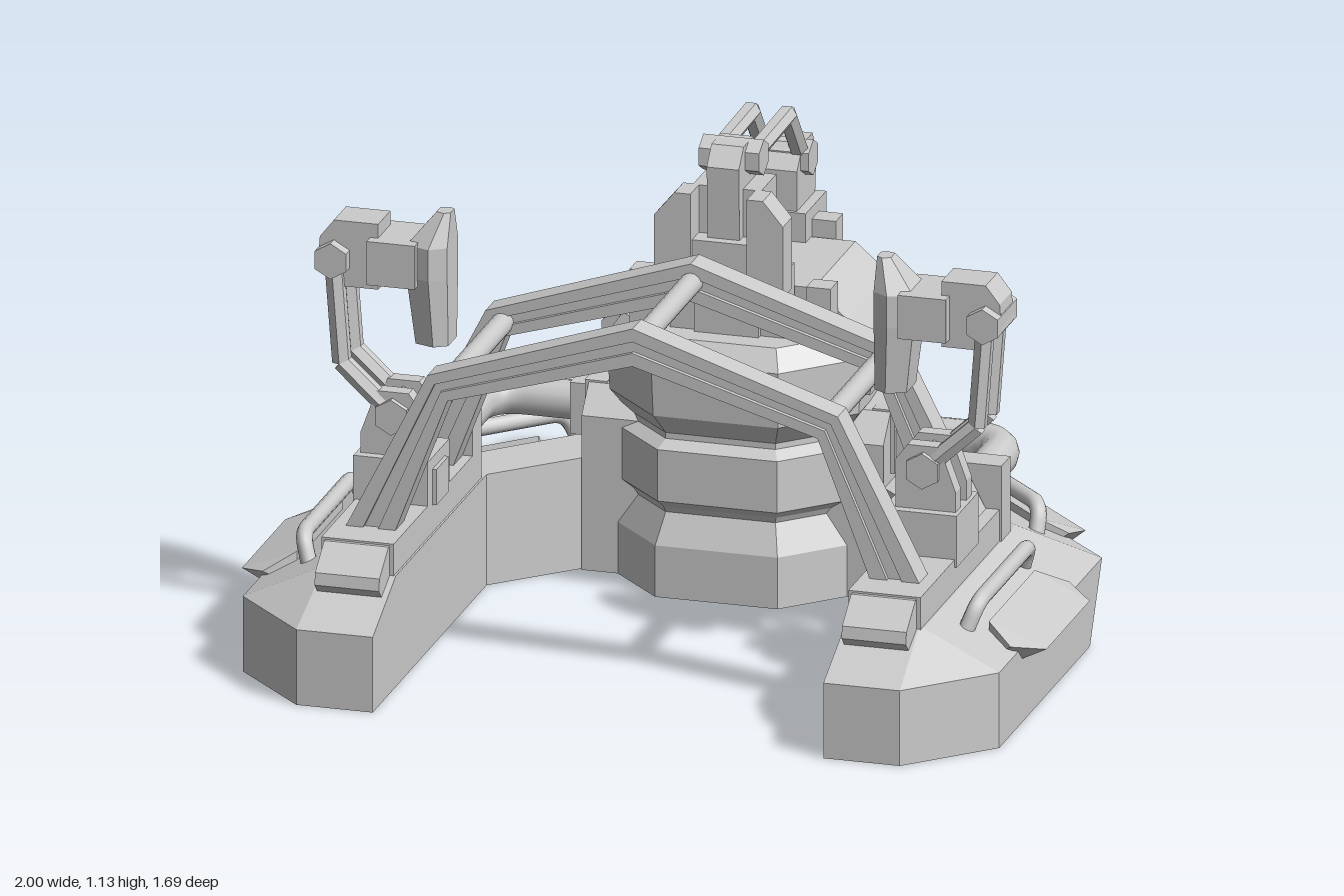
import * as THREE from 'three';
import { ConvexGeometry } from 'three/addons/geometries/ConvexGeometry.js';

const flat = new THREE.MeshStandardMaterial({ color: 0xcccccc, flatShading: true });
const smooth = new THREE.MeshStandardMaterial({ color: 0xcccccc });

function add(parent, name, geometry, material = flat) {
  const mesh = new THREE.Mesh(geometry, material);
  mesh.name = name;
  parent.add(mesh);
  return mesh;
}
function group(parent, name) {
  const g = new THREE.Group();
  g.name = name;
  parent.add(g);
  return g;
}
// Box given by its limits on each axis
function box(x0, x1, y0, y1, z0, z1) {
  return new THREE.BoxGeometry(x1 - x0, y1 - y0, z1 - z0)
    .translate((x0 + x1) / 2, (y0 + y1) / 2, (z0 + z1) / 2);
}
// Prism of an (x, y) outline running along z
function prismZ(points, z0, z1) {
  const shape = new THREE.Shape(points.map(p => new THREE.Vector2(...p)));
  return new THREE.ExtrudeGeometry(shape, { depth: z1 - z0, bevelEnabled: false }).translate(0, 0, z0);
}
// Prism of a (z, y) outline running along x
function prismX(points, x0, x1) {
  return prismZ(points.map(([z, y]) => [-z, y]), x0, x1).rotateY(Math.PI / 2);
}
function rod(r, a, b, sides = 16) {
  const from = new THREE.Vector3(...a), dir = new THREE.Vector3(...b).sub(from);
  const geo = new THREE.CylinderGeometry(r, r, dir.length(), sides);
  geo.applyQuaternion(new THREE.Quaternion().setFromUnitVectors(new THREE.Vector3(0, 1, 0), dir.clone().normalize()));
  return geo.translate(...from.addScaledVector(dir, 0.5).toArray());
}
// Tube with rounded bends at the inner points
function pipe(points, r, bend) {
  const p = points.map(a => new THREE.Vector3(...a));
  const path = new THREE.CurvePath();
  let last = p[0];
  for (let i = 1; i < p.length - 1; i++) {
    const a = p[i].clone().add(p[i - 1].clone().sub(p[i]).setLength(bend));
    const b = p[i].clone().add(p[i + 1].clone().sub(p[i]).setLength(bend));
    path.add(new THREE.LineCurve3(last, a));
    path.add(new THREE.QuadraticBezierCurve3(a, p[i], b));
    last = b;
  }
  path.add(new THREE.LineCurve3(last, p[p.length - 1]));
  return new THREE.TubeGeometry(path, 64, r, 12);
}
// Skin over stacked rings of [x, y, z], capped at both ends
function loft(rings) {
  const n = rings[0].length, index = [];
  const plan = ring => ring.map(([x, , z]) => new THREE.Vector2(x, -z));
  const ccw = THREE.ShapeUtils.area(plan(rings[0])) > 0;
  const tri = (a, b, c) => ccw ? index.push(a, b, c) : index.push(a, c, b);
  for (let k = 0; k < rings.length - 1; k++) for (let i = 0; i < n; i++) {
    const a = k * n + i, b = k * n + (i + 1) % n;
    tri(a, b, b + n);
    tri(a, b + n, a + n);
  }
  const top = (rings.length - 1) * n;
  for (const [k, up] of [[0, false], [rings.length - 1, true]]) {
    for (const f of THREE.ShapeUtils.triangulateShape(plan(rings[k]), [])) {
      const area = THREE.ShapeUtils.area(f.map(i => plan(rings[k])[i]));
      const [a, b, c] = (area > 0) === up ? f : [f[0], f[2], f[1]];
      index.push(a + k * n, b + k * n, c + k * n);
    }
  }
  const geo = new THREE.BufferGeometry();
  geo.setAttribute('position', new THREE.Float32BufferAttribute(rings.flat(2), 3));
  geo.setIndex(index);
  const out = geo.toNonIndexed();
  out.computeVertexNormals();
  return out;
}
// Offset band along a mirrored polyline, used for the arches
function band(outer, inner, t0, t1) {
  const row = t => outer.map(([x, y], i) => [x + (inner[i][0] - x) * t, y + (inner[i][1] - y) * t]);
  const full = r => [...r, ...r.slice(0, -1).reverse().map(([x, y]) => [-x, y])];
  return [...full(row(t0)), ...full(row(t1)).reverse()];
}
// Twin-bar arm along (x, y) points, with a pivot at each end
function twinArm(parent, points, half) {
  const arm = group(parent, 'arm');
  for (const s of [-1, 1]) for (let i = 0; i < points.length - 1; i++) {
    add(arm, 'armBar', rod(0.024, [...points[i], s * half], [...points[i + 1], s * half], 6));
  }
  for (const p of [points[0], points[points.length - 1]]) {
    add(arm, 'pivot', rod(0.045, [...p, -half - 0.03], [...p, half + 0.03], 6));
  }
}
// Grab rail with a pointed side fin; local +x is outward
function railAndFin(parent, x, z, angle, length) {
  const g = group(parent, 'railAndFin');
  g.position.set(x, 0, z);
  g.rotation.y = angle;
  add(g, 'grabRail', pipe([[-0.13, 0.22, -0.24], [-0.1, 0.305, -0.21], [-0.1, 0.305, 0.21], [-0.13, 0.22, 0.24]], 0.02, 0.04), smooth);
  const pts = [];
  for (const s of [-1, 1]) {
    const h = s * length / 2;
    pts.push([0.06, 0.19, h * 0.85], [-0.01, 0.155, h * 0.85], [-0.01, 0.21, h * 1.15],
      [-0.08, 0.25, h * 0.9], [-0.08, 0.16, h * 0.9]);
  }
  add(g, 'sideFin', new ConvexGeometry(pts.map(p => new THREE.Vector3(...p))));
}

function buildSide() {
  const side = new THREE.Group();
  // Half of the horseshoe hull, with sloping shoulders
  const inner = [[0, -0.28], [0.375, -0.28], [0.56, -0.1]];
  const outline = {
    bottom: [...inner, [0.56, 0.84], [0.75, 0.84], [0.94, 0.65], [0.94, -0.1], [0.38, -0.66], [0, -0.66]],
    wall: [...inner, [0.56, 0.84], [0.75, 0.84], [0.94, 0.65], [0.94, -0.2], [0.47, -0.66], [0, -0.66]],
    deck: [...inner, [0.56, 0.65], [0.74, 0.65], [0.75, 0.64], [0.75, -0.12], [0.39, -0.48], [0, -0.48]],
  };
  const ring = (pts, y) => pts.map(([x, z]) => [x, y, z]);
  add(side, 'hull', loft([ring(outline.bottom, 0), ring(outline.wall, 0.19), ring(outline.deck, 0.28)]));

  // Raised deck, front lamp and rear pipe block
  add(side, 'raisedDeck', box(0.565, 0.745, 0.25, 0.36, -0.02, 0.65));
  add(side, 'frontLamp', prismX([[0.64, 0.24], [0.71, 0.24], [0.74, 0.27], [0.735, 0.3], [0.66, 0.355], [0.64, 0.355]], 0.575, 0.735));
  add(side, 'pipeBlock', box(0.565, 0.75, 0.25, 0.47, -0.075, 0));
  add(side, 'pipeCollar', box(0.59, 0.71, 0.31, 0.44, -0.135, -0.07));
  railAndFin(side, 0.94, 0.28, 0, 0.42);
  railAndFin(side, 0.705, -0.43, Math.PI / 4, 0.33);

  // Pipe from the tower to the side arm
  add(side, 'pipe', pipe([[0.34, 0.38, -0.4], [0.65, 0.38, -0.4], [0.65, 0.38, -0.1]], 0.048, 0.11), smooth);
  add(side, 'pipeFlange', box(0.33, 0.385, 0.3, 0.46, -0.47, -0.33));
  add(side, 'pipeFlange', box(0.38, 0.425, 0.315, 0.445, -0.46, -0.34));

  // Lamp on its bent arm
  const lamp = group(side, 'armLamp');
  lamp.position.z = 0.28;
  add(lamp, 'pedestal', box(0.565, 0.75, 0.34, 0.47, -0.09, 0.09));
  for (const s of [-1, 1]) {
    add(lamp, 'pedestalCheek', prismZ([[0.59, 0.46], [0.74, 0.46], [0.74, 0.52], [0.7, 0.63], [0.62, 0.63], [0.59, 0.59]], s * 0.045 - 0.02, s * 0.045 + 0.02));
  }
  add(lamp, 'pedestalFrame', box(0.555, 0.57, 0.35, 0.44, -0.05, 0.05));
  twinArm(lamp, [[0.66, 0.57], [0.79, 0.69], [0.81, 0.95]], 0.05);
  add(lamp, 'lampHousing', prismZ([[0.7, 0.88], [0.79, 0.88], [0.85, 0.93], [0.845, 1], [0.81, 1.045], [0.7, 1.045]], -0.05, 0.05));
  add(lamp, 'lampLink', box(0.6, 0.72, 0.9, 1.01, -0.08, 0.08));
  add(lamp, 'lampHead', loft([[0.75, 0.8], [0.92, 1], [1.0, 1], [1.08, 0.35]].map(([y, s]) =>
    [[0.53, -0.045], [0.57, -0.07], [0.63, -0.05], [0.63, 0.05], [0.57, 0.07], [0.53, 0.045]]
      .map(([x, z]) => [0.53 + (x - 0.53) * s, y, z * s]))));
  return side;
}

function buildTower(root) {
  const tower = group(root, 'tower');
  // Ringed octagonal body
  const octagon = [[0.155, 0.355], [0.31, 0.2], [0.31, -0.2], [0.155, -0.355],
    [-0.155, -0.355], [-0.31, -0.2], [-0.31, 0.2], [-0.155, 0.355]];
  const profile = [[0, 0.98], [0.13, 0.98], [0.205, 0.88], [0.22, 0.9], [0.24, 0.96], [0.37, 0.96],
    [0.39, 0.88], [0.405, 0.88], [0.46, 1], [0.6, 1.02], [0.65, 0.91]];
  add(tower, 'body', loft(profile.map(([y, s]) => octagon.map(([x, z]) => [x * s, y, -0.485 + z * s]))));
  add(tower, 'sideHousing', prismX([[-0.27, 0], [-0.27, 0.39], [-0.33, 0.455], [-0.46, 0.47], [-0.61, 0.425], [-0.655, 0.1], [-0.655, 0]], -0.375, 0.375));
  add(tower, 'saddle', prismZ([[-0.33, 0.5], [0.33, 0.5], [0.338, 0.62], [0.28, 0.68], [0.19, 0.757],
    [-0.19, 0.757], [-0.28, 0.68], [-0.338, 0.62]], -0.655, -0.31));
  for (const s of [-1, 1]) {
    add(tower, 'post', box(s * 0.22 - 0.03, s * 0.22 + 0.03, 0.64, 0.78, -0.31, -0.25));
    add(tower, 'innerPost', box(s * 0.11 - 0.035, s * 0.11 + 0.035, 0.64, 0.82, -0.3, -0.235));
    add(tower, 'rearBracket', box(s * 0.11 - 0.03, s * 0.11 + 0.03, 0.64, 0.8, -0.72, -0.66));
  }
  add(tower, 'frontBlock', box(-0.08, 0.08, 0.64, 0.74, -0.28, -0.22));

  // Rear lamp: local +x points to the back
  const lamp = group(tower, 'rearLamp');
  lamp.rotation.y = Math.PI / 2;
  add(lamp, 'pedestal', box(0.61, 0.78, 0.64, 0.83, -0.08, 0.08));
  add(lamp, 'pedestalTop', prismZ([[0.62, 0.82], [0.77, 0.82], [0.78, 0.92], [0.75, 0.985], [0.67, 0.985], [0.62, 0.93]], -0.055, 0.055));
  twinArm(lamp, [[0.69, 0.945], [0.575, 1.09], [0.28, 1.085]], 0.045);
  add(lamp, 'hub', prismZ([[0.2, 0.8], [0.35, 0.8], [0.35, 1.07], [0.31, 1.125], [0.23, 1.125], [0.19, 1.08]], -0.04, 0.04));
  add(lamp, 'hubBlock', box(0.225, 0.35, 0.82, 1.02, -0.085, 0.085));
  add(lamp, 'barrel', prismZ([[0.3, 0.82], [0.44, 0.82], [0.485, 0.845], [0.485, 0.88], [0.46, 0.9], [0.3, 0.9]], -0.05, 0.05));
  for (const s of [-1, 1]) {
    const plate = [[0.07, 0.78], [0.16, 0.78], [0.16, 0.96], [0.11, 1.02], [0.07, 1.02]];
    add(tower, 'lampPlate', prismZ(plate.map(([x, y]) => [s * x, y]), -0.23, -0.155));
  }
  add(tower, 'lampFace', box(-0.07, 0.07, 0.76, 0.9, -0.24, -0.17));
}

export function createModel() {
  const root = new THREE.Group();
  root.name = 'model';
  for (const s of [-1, 1]) {
    const side = buildSide();
    side.name = s > 0 ? 'leftSide' : 'rightSide';
    side.scale.x = s;
    root.add(side);
  }
  buildTower(root);

  // Two grooved arches joined by three crossbars
  const outer = [[-0.72, 0.345], [-0.51, 0.76], [0, 0.93]], inner = [[-0.595, 0.345], [-0.46, 0.7], [0, 0.835]];
  for (const z of [0.04, 0.52]) {
    const arch = group(root, 'arch');
    add(arch, 'archOuterRim', prismZ(band(outer, inner, 0, 0.35), z - 0.036, z + 0.036));
    add(arch, 'archInnerRim', prismZ(band(outer, inner, 0.65, 1), z - 0.036, z + 0.036));
    add(arch, 'archWeb', prismZ(band(outer, inner, 0.3, 0.7), z - 0.024, z + 0.024));
  }
  for (const [x, y] of [[-0.47, 0.73], [0, 0.88], [0.47, 0.73]]) {
    add(root, 'crossbar', rod(0.027, [x, y, 0.05], [x, y, 0.51]), smooth);
  }
  return root;
}
